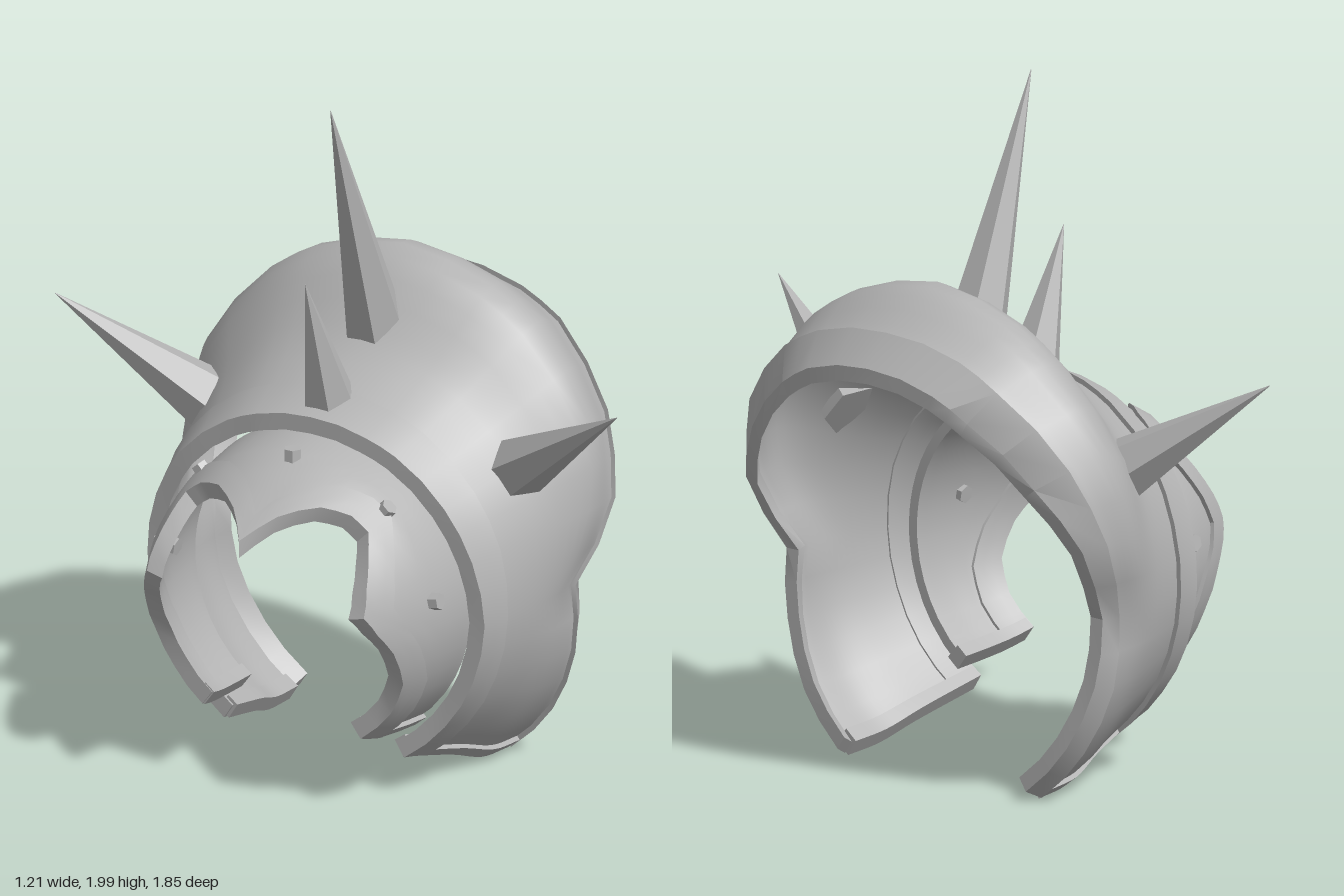
import * as THREE from 'three';
import { toCreasedNormals } from 'three/addons/utils/BufferGeometryUtils.js';

const AXIS_Y = 0.58; // height of the arch axis, which runs along x
const RAD = Math.PI / 180;

// Main shell by angle from the top: left edge, middle, ridge, rim start, rim end as x, r
const MAIN = [
  [0, -0.20, 0.51, 0.05, 0.65, 0.30, 0.88, 0.52, 0.76, 0.60, 0.67],
  [20, -0.20, 0.515, 0.05, 0.65, 0.30, 0.86, 0.51, 0.765, 0.59, 0.67],
  [31, -0.195, 0.52, 0.05, 0.65, 0.30, 0.84, 0.50, 0.76, 0.57, 0.66],
  [53, -0.19, 0.53, 0.05, 0.64, 0.27, 0.785, 0.42, 0.74, 0.49, 0.65],
  [71, -0.18, 0.535, 0.05, 0.62, 0.22, 0.70, 0.34, 0.70, 0.40, 0.655],
  [91, -0.17, 0.54, 0.03, 0.59, 0.13, 0.605, 0.22, 0.60, 0.27, 0.58],
  [110, -0.17, 0.535, 0.03, 0.59, 0.14, 0.62, 0.235, 0.63, 0.285, 0.60],
  [129, -0.17, 0.53, 0.03, 0.595, 0.15, 0.635, 0.26, 0.65, 0.31, 0.62],
  [147, -0.18, 0.53, 0.03, 0.60, 0.15, 0.65, 0.275, 0.665, 0.325, 0.635],
];
// Toothed outer edge of the small plate: angle, x
const TEETH = [[0, -0.6], [12, -0.51], [25, -0.43], [36, -0.395], [45, -0.39], [53, -0.43],
  [65, -0.48], [76, -0.51], [85, -0.48], [95, -0.43], [110, -0.375], [125, -0.36], [143, -0.365]];
// Small plate radius along x
const SMALL_R = [[-0.6, 0.27], [-0.5, 0.34], [-0.4, 0.4], [-0.3, 0.445], [-0.2, 0.46], [-0.1, 0.47]];

function lookup(table, k, col = 1) {
  let i = 1;
  while (i < table.length - 1 && k > table[i][0]) i++;
  const a = table[i - 1], b = table[i];
  const t = THREE.MathUtils.clamp((k - a[0]) / (b[0] - a[0]), 0, 1);
  return a[col] + (b[col] - a[col]) * t;
}

// Mirrored list of angles through the keys, with one extra row between each pair
function arc(table) {
  const half = [];
  table.forEach((row, i) => {
    if (i) half.push((table[i - 1][0] + row[0]) / 2);
    half.push(row[0]);
  });
  return [...half.slice(1).reverse().map((a) => -a), ...half];
}

// Closed plate: profile(angle) gives [x, r] points, thickened radially from inn to out
function plate(profile, angles, out, inn) {
  const loops = angles.map((deg) => {
    const pts = profile(Math.abs(deg));
    const at = (o) => ([x, r]) => [x, AXIS_Y + (r + o) * Math.cos(deg * RAD), (r + o) * Math.sin(deg * RAD)];
    return [...pts.map(at(out)), ...pts.map(at(inn)).reverse()];
  });
  const pos = [];
  const quad = (a, b, c, d) => pos.push(...a, ...b, ...c, ...a, ...c, ...d);
  const n = loops[0].length;
  for (let i = 0; i < loops.length - 1; i++) {
    for (let j = 0; j < n; j++) {
      const k = (j + 1) % n;
      quad(loops[i][j], loops[i + 1][j], loops[i + 1][k], loops[i][k]);
    }
  }
  const first = loops[0], last = loops[loops.length - 1];
  for (let j = 0; j < n / 2 - 1; j++) {
    quad(first[j], first[j + 1], first[n - 2 - j], first[n - 1 - j]);
    quad(last[j], last[n - 1 - j], last[n - 2 - j], last[j + 1]);
  }
  const geo = new THREE.BufferGeometry();
  geo.setAttribute('position', new THREE.Float32BufferAttribute(pos, 3));
  return toCreasedNormals(geo, 35 * RAD);
}

// Smooth profile of the main shell from left edge to rim start
function mainProfile(deg) {
  const pts = [1, 3, 5, 7].map((c) => new THREE.Vector3(lookup(MAIN, deg, c), lookup(MAIN, deg, c + 1), 0));
  return new THREE.CatmullRomCurve3(pts).getPoints(15).map((p) => [p.x, p.y]);
}
const rimProfile = (deg) => [7, 9].map((c) => [lookup(MAIN, deg, c), lookup(MAIN, deg, c + 1)]);
const collarProfile = (deg) => mainProfile(deg).slice(0, 3).map(([x, r], i) => [x - (i === 0 ? 0.01 : 0), r]);

// Small plate profile between fractions of its width; trim is a fixed width at the teeth
function smallPoint(x, deg) {
  const side = Math.sin(deg * RAD) * THREE.MathUtils.clamp((-0.3 - x) / 0.2, 0, 1);
  return [x, lookup(SMALL_R, x) + 0.025 * side];
}
function smallProfile(deg, from, to, n) {
  return Array.from({ length: n + 1 }, (_, i) => smallPoint(from + ((to - from) * i) / n, deg));
}

export function createModel() {
  const steel = new THREE.MeshStandardMaterial({ color: 0xb4b4b4 });
  steel.name = 'steel grey';
  const model = new THREE.Group();
  model.name = 'shoulderArmour';
  const armour = new THREE.Group();
  armour.name = 'armourPlates';
  armour.rotation.y = 0.075;
  model.add(armour);

  const add = (name, geometry) => {
    const mesh = new THREE.Mesh(geometry, steel);
    mesh.name = name;
    armour.add(mesh);
    return mesh;
  };

  // Main shell with its rim, collar and foot trims
  const mainArc = arc(MAIN);
  add('mainShell', plate(mainProfile, mainArc, 0, -0.03));
  add('rimTrim', plate(rimProfile, mainArc, 0.015, -0.03));
  add('collarTrim', plate(collarProfile, mainArc, 0.015, -0.035));
  for (const s of [-1, 1]) {
    const range = s > 0 ? [143.5, 148] : [-148, -143.5];
    add('mainFootTrim', plate(mainProfile, range, 0.012, -0.042));
  }

  // Small toothed plate with its trims
  const smallArc = arc(TEETH);
  const edge = (deg) => lookup(TEETH, deg);
  add('smallPlate', plate((d) => smallProfile(d, edge(d), -0.11, 10), smallArc, 0, -0.03));
  add('toothTrim', plate((d) => smallProfile(d, edge(d) - 0.005, edge(d) + 0.085, 3), smallArc, 0.014, -0.038));
  for (const s of [-1, 1]) {
    const range = s > 0 ? [138, 143.6] : [-143.6, -138];
    add('smallFootTrim', plate((d) => smallProfile(d, edge(d), -0.11, 6), range, 0.012, -0.042));
  }

  // Six-sided pieces standing from base to tip
  const up = new THREE.Vector3(0, 1, 0);
  function stand(name, base, tip, rBase, rTip) {
    const a = new THREE.Vector3(...base), b = new THREE.Vector3(...tip);
    const dir = b.clone().sub(a);
    const geo = new THREE.CylinderGeometry(rTip, rBase, dir.length(), 6).toNonIndexed();
    geo.computeVertexNormals();
    const mesh = add(name, geo);
    mesh.position.copy(a).add(b).multiplyScalar(0.5);
    mesh.quaternion.setFromUnitVectors(up, dir.normalize());
  }

  // Spikes
  stand('topSpike', [0.165, 1.2, 0], [-0.1, 2, 0], 0.1, 0.001);
  stand('collarSpike', [-0.09, 1.07, 0], [-0.24, 1.52, 0], 0.09, 0.001);
  for (const s of [-1, 1]) {
    stand('sideSpike', [0.085, 0.95, s * 0.5], [-0.07, 1.245, s * 0.925], 0.095, 0.001);
  }

  // Bolts on the small plate
  for (const [deg, x] of [[0, -0.31], [42, -0.3], [-42, -0.3], [80, -0.275], [-80, -0.275]]) {
    const r = smallPoint(x, Math.abs(deg))[1];
    const at = (o) => [x, AXIS_Y + (r + o) * Math.cos(deg * RAD), (r + o) * Math.sin(deg * RAD)];
    stand('bolt', at(-0.045), at(0.025), 0.027, 0.025);
  }
  return model;
}
